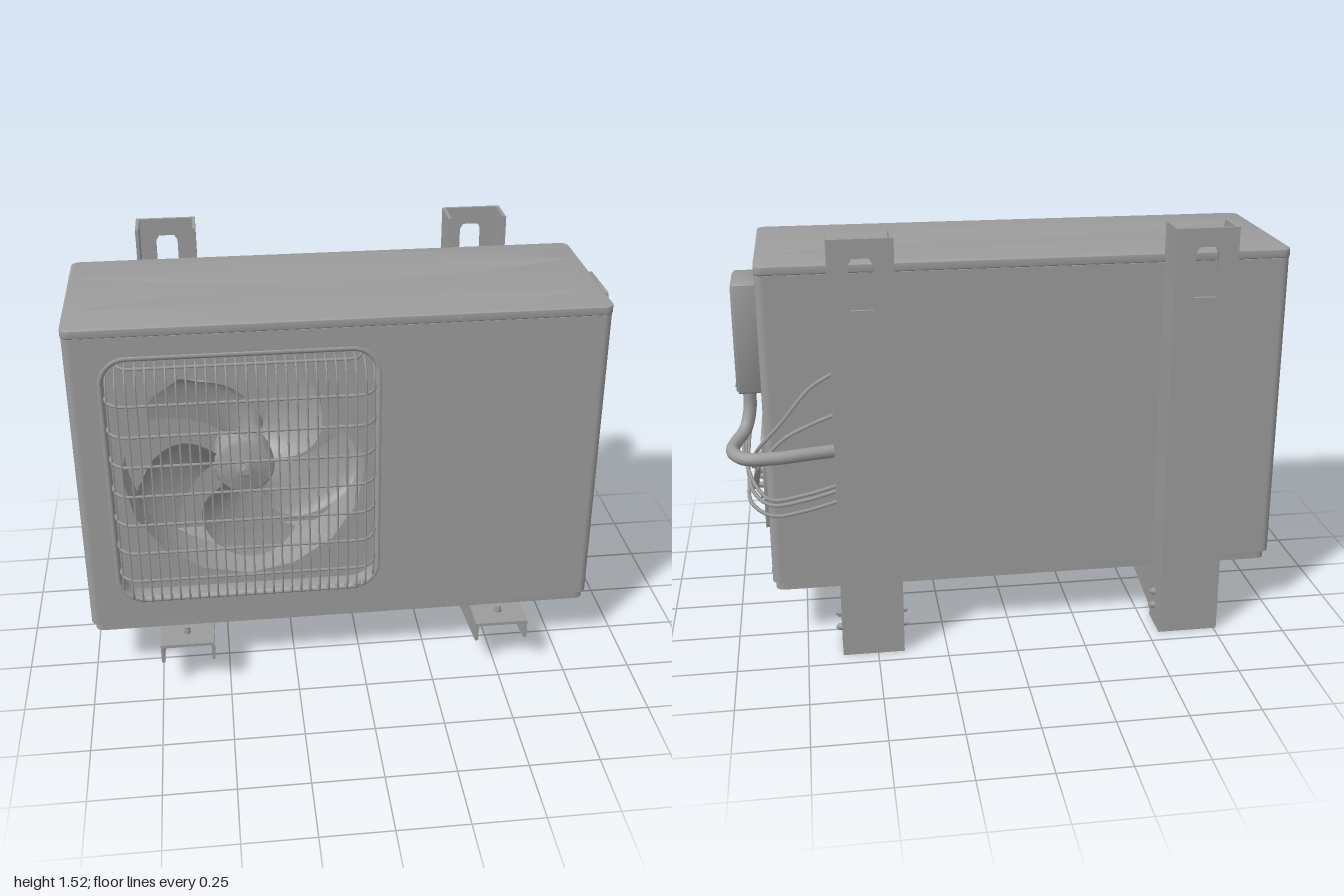
import * as THREE from 'three';
import { toCreasedNormals } from 'three/addons/utils/BufferGeometryUtils.js';

const GREY = 0x9c9c9c;
const mat = new THREE.MeshStandardMaterial({ color: GREY });
const thin = new THREE.MeshStandardMaterial({ color: GREY, side: THREE.DoubleSide });

export function createModel() {
  const root = new THREE.Group();
  const add = (name, geo, material = mat, parent = root) => {
    const m = new THREE.Mesh(geo, material);
    m.name = name;
    parent.add(m);
    return m;
  };
  // box from its limits on each axis
  const box = (name, x0, x1, y0, y1, z0, z1, parent = root) => add(name,
    new THREE.BoxGeometry(x1 - x0, y1 - y0, z1 - z0).translate((x0 + x1) / 2, (y0 + y1) / 2, (z0 + z1) / 2), mat, parent);
  // rounded rectangle from its limits; the lower corners may have their own radius
  const rounded = (x0, x1, y0, y1, r, Type = THREE.Shape, low = r) => {
    const s = new Type();
    s.moveTo(x0 + low, y0);
    s.absarc(x1 - low, y0 + low, low, -Math.PI / 2, 0);
    s.absarc(x1 - r, y1 - r, r, 0, Math.PI / 2);
    s.absarc(x0 + r, y1 - r, r, Math.PI / 2, Math.PI);
    s.absarc(x0 + low, y0 + low, low, Math.PI, Math.PI * 1.5);
    return s;
  };
  const polygon = (pts) => new THREE.Shape(pts.map((p) => new THREE.Vector2(...p)));
  const extrude = (shape, depth, bevel = 0) => toCreasedNormals(new THREE.ExtrudeGeometry(shape, {
    depth: depth - 2 * bevel, bevelEnabled: bevel > 0, bevelThickness: bevel, bevelSize: bevel,
    bevelOffset: -bevel, bevelSegments: 3, curveSegments: 8,
  }).translate(0, 0, bevel), 0.6);
  // sheets facing x (shape drawn in -z, y) and facing y (shape drawn in x, -z)
  const sheetX = (shape, x, depth, bevel) => extrude(shape, depth, bevel).rotateY(Math.PI / 2).translate(x, 0, 0);
  const sheetY = (shape, y, depth, bevel) => extrude(shape, depth, bevel).rotateX(-Math.PI / 2).translate(0, y, 0);
  // round peg along an axis
  const peg = (name, axis, x, y, z, r, len, parent = root, sides = 14) => {
    const g = new THREE.CylinderGeometry(r, r, len, sides);
    if (axis === 'x') g.rotateZ(-Math.PI / 2);
    if (axis === 'z') g.rotateX(Math.PI / 2);
    return add(name, toCreasedNormals(g.translate(x, y, z), 0.6), mat, parent);
  };
  const tube = (name, pts, r, sides = 6, segs = 32, parent = root) => add(name, new THREE.TubeGeometry(
    new THREE.CatmullRomCurve3(pts.map((p) => new THREE.Vector3(...p)), false, 'centripetal'), segs, r, sides), thin, parent);

  // --- Casing ---
  const X0 = -0.998, X1 = 0.865, Z0 = -0.306, Z1 = 0.335, Y0 = 0.235, Y1 = 1.374, R = 0.03;
  const front = polygon([[X0 + R, Y0], [X1 - R, Y0], [X1 - R, Y1], [X0 + R, Y1]]);
  front.holes.push(rounded(-0.885, 0.06, 0.33, 1.295, 0.095, THREE.Path));
  add('frontPanel', extrude(front, 0.012).translate(0, 0, Z1 - 0.012));
  const lip = rounded(-0.898, 0.073, 0.317, 1.308, 0.108);
  lip.holes.push(rounded(-0.874, 0.049, 0.341, 1.284, 0.085, THREE.Path));
  add('openingLip', extrude(lip, 0.07, 0.011).translate(0, 0, Z1 - 0.068));
  box('backPanel', X0 + R, X1 - R, Y0, Y1, Z0, Z0 + 0.012);
  box('valveSidePanel', X1 - 0.012, X1, Y0, Y1, Z0 + R, Z1 - R);
  const vent = polygon([[-Z1 + R, Y0], [-Z0 - R, Y0], [-Z0 - R, Y1], [-Z1 + R, Y1]]);
  for (let row = 0; row < 11; row++) for (const u of [-0.26, -0.07]) {
    const y = 0.35 + row * 0.088;
    vent.holes.push(rounded(u, u + 0.175, y, y + 0.063, 0.008, THREE.Path));
  }
  add('ventSidePanel', sheetX(vent, X0, 0.012));
  for (const [x, z, start] of [[X1 - R, Z1 - R, 0], [X1 - R, Z0 + R, 1], [X0 + R, Z0 + R, 2], [X0 + R, Z1 - R, 3]])
    add('casingCorner', new THREE.CylinderGeometry(R, R, Y1 - Y0, 6, 1, true, start * Math.PI / 2, Math.PI / 2)
      .translate(x, (Y0 + Y1) / 2, z), thin);
  add('basePan', sheetY(rounded(-0.985, 0.855, -0.327, 0.295, 0.03), 0.203, 0.04));
  add('lid', sheetY(rounded(-1, 0.867, -0.338, 0.309, 0.032), 1.375, 0.032, 0.004));

  // two shallow lens-shaped swells pressed into the top, pointed at both ends
  for (const z of [0.17, -0.14]) {
    const swell = new THREE.PlaneGeometry(1.8, 0.3, 32, 16).rotateX(-Math.PI / 2);
    const p = swell.attributes.position;
    for (let i = 0; i < p.count; i++) {
      const u = p.getX(i) / 0.9, v = p.getZ(i) / 0.15, w = 1 - u * u;
      p.setY(i, 1.4073 + 0.006 * Math.sqrt(w) * (1 - v * v) ** 2);
      p.setZ(i, p.getZ(i) * (0.03 + 0.97 * w));
    }
    swell.translate(-0.066, 0, z).computeVertexNormals();
    add('lidSwell', swell);
  }

  // --- Fan and its surround ---
  const CX = -0.41, CY = 0.81;
  const plate = rounded(-0.9, 0.075, 0.315, 1.31, 0.09);
  plate.holes.push(new THREE.Path().absarc(CX, CY, 0.435, 0, Math.PI * 2));
  add('fanSurround', extrude(plate, 0.01).translate(0, 0, 0.255));
  add('fanDuct', new THREE.CylinderGeometry(0.435, 0.435, 0.2, 48, 1, true).rotateX(Math.PI / 2).translate(CX, CY, 0.165), thin);
  const fan = new THREE.Group();
  fan.name = 'fan';
  fan.position.set(CX, CY, 0.18);
  root.add(fan);
  add('fanHub', new THREE.LatheGeometry([[0.105, -0.09], [0.108, 0.05], [0.095, 0.065], [0.035, 0.068], [0.03, 0.08], [0, 0.082]]
    .map((p) => new THREE.Vector2(...p)), 32).rotateX(Math.PI / 2), thin, fan);
  peg('hubNut', 'z', 0, 0, 0.085, 0.014, 0.03, fan, 6);
  for (let b = 0; b < 5; b++) {
    const g = new THREE.PlaneGeometry(1, 1, 10, 12), p = g.attributes.position;
    for (let i = 0; i < p.count; i++) {
      const u = p.getX(i) * 2, t = p.getY(i) + 0.5;
      const r = 0.09 + t * (0.33 - 0.05 * u * u);
      const a = b * Math.PI * 0.4 + 0.55 + 0.55 * t * t + u * (0.36 + 0.14 * Math.sin(Math.PI * t));
      p.setXYZ(i, r * Math.cos(a), r * Math.sin(a), -0.01 - 0.04 * u + 0.01 * u * u);
    }
    g.computeVertexNormals();
    add('fanBlade', g, thin, fan);
  }
  peg('fanMotor', 'z', CX, CY, 0, 0.085, 0.17, root, 24);
  for (const x of [CX - 0.06, CX + 0.06]) box('motorStrut', x - 0.015, x + 0.015, Y0, Y1, -0.1, -0.08);

  // --- Wire guard: every wire follows one domed rounded rectangle ---
  const guard = new THREE.Group();
  guard.name = 'wireGuard';
  root.add(guard);
  const GX = -0.4125, GY = 0.8075, HW = 0.461, HH = 0.469, CR = 0.085;
  const reach = (p, half, other) => { // end of a wire at offset p, inside the rounded corners
    const k = Math.abs(p) - (half - CR);
    return other - CR + (k > 0 ? Math.sqrt(Math.max(0, CR * CR - k * k)) : CR);
  };
  const dome = (x, y) => {
    const qx = Math.abs(x) - HW + CR, qy = Math.abs(y) - HH + CR;
    const d = CR - Math.hypot(Math.max(qx, 0), Math.max(qy, 0)) - Math.min(Math.max(qx, qy), 0);
    const e = 1 - Math.min(1, Math.max(0, d / 0.065));
    return 0.325 + 0.085 * Math.sqrt(1 - e * e);
  };
  const steps = [0, 0.002, 0.008, 0.02, 0.04, 0.07, 0.12];
  const wire = (name, vertical, p, r) => {
    const end = vertical ? reach(p, HW, HH) : reach(p, HH, HW);
    const side = steps.map((s) => end - s);
    const pts = [...side.map((s) => -s), ...side.reverse()].map((s) => {
      const [x, y] = vertical ? [p, s] : [s, p];
      return [GX + x, GY + y, dome(x, y) - (vertical ? 0 : 0.005)];
    });
    tube(name, pts, r, 5, 40, guard);
  };
  for (let i = 0; i < 28; i++) wire('verticalWire', true, -0.452 + i * 0.904 / 27, 0.0038);
  for (let i = 0; i < 9; i++) wire('crossWire', false, -0.462 + i * 0.924 / 8, 0.0055);

  // --- Wall brackets ---
  for (const bx of [-0.65, 0.515]) {
    const br = new THREE.Group();
    br.name = 'wallBracket';
    br.position.x = bx;
    root.add(br);
    const web = polygon([[-0.11, 0], [0.11, 0], [0.11, 1.52], [-0.11, 1.52]]);
    web.holes.push(new THREE.Path([[-0.04, 1.28], [0.04, 1.28], [0.04, 1.435], [0.028, 1.455], [-0.028, 1.455], [-0.04, 1.435]]
      .map((p) => new THREE.Vector2(...p))));
    add('uprightWeb', extrude(web, 0.012).translate(0, 0, -0.442), mat, br);
    box('armTop', -0.097, 0.097, 0.188, 0.2, -0.43, 0.445, br);
    peg('footBolt', 'y', 0, 0.2, 0.37, 0.011, 0.05, br);
    peg('footNut', 'y', 0, 0.207, 0.37, 0.015, 0.014, br, 6);
    const arm = polygon([[-0.445, 0.2], [-0.445, 0.125], [0.305, 0.002], [0.43, 0.002], [0.43, 0.2]]);
    for (const s of [-1, 1]) {
      box('uprightFlange', s * 0.104 - 0.006, s * 0.104 + 0.006, 0, 1.52, -0.442, -0.305, br);
      add('armFlange', sheetX(arm, s * 0.092 - 0.006, 0.012), mat, br);
      for (const y of [0.075, 0.13]) {
        peg('bracketBolt', 'x', s * 0.11, y, -0.365, 0.007, 0.042, br);
        peg('bracketNut', 'x', s * 0.116, y, -0.365, 0.013, 0.015, br);
      }
    }
  }

  // --- Access cover with tab and grip ---
  const cover = polygon([[-0.225, 0.938], [-0.185, 0.938], [-0.178, 0.91], [-0.118, 0.91], [-0.111, 0.938],
    [-0.075, 0.938], [-0.075, 1.23], [-0.225, 1.23]]);
  cover.holes.push(rounded(-0.205, -0.095, 1.165, 1.198, 0.004, THREE.Path));
  add('accessCover', sheetX(cover, X1 - 0.002, 0.018, 0.004));
  box('coverFace', X1, X1 + 0.022, 0.945, 1.16, 0.087, 0.213);
  peg('coverScrew', 'x', X1 + 0.022, 0.965, 0.17, 0.009, 0.012);

  // --- Wiring box ---
  add('wiringBox', sheetX(rounded(-0.005, 0.21, 0.93, 1.325, 0.008), X1 - 0.002, 0.083, 0.004));
  add('wiringBoxLid', sheetX(rounded(0.003, 0.202, 0.937, 1.318, 0.006), X1 + 0.078, 0.009, 0.003));
  for (const z of [-0.018, -0.188]) peg('boxScrew', 'x', X1 + 0.085, 0.96, z, 0.008, 0.01);

  // --- Service valves ---
  const tray = rounded(-0.22, 0.068, 0.35, 0.708, 0.03, THREE.Shape, 0.003);
  tray.holes.push(rounded(-0.2, 0.048, 0.358, 0.69, 0.02, THREE.Path, 0.003));
  add('valveFrame', sheetX(tray, X1 - 0.002, 0.024, 0.003));
  box('valvePlate', X1, X1 + 0.01, 0.355, 0.67, -0.045, 0.197);
  add('valveMount', sheetX(polygon([[-0.1, 0.395], [-0.02, 0.395], [-0.02, 0.63], [-0.095, 0.63], [-0.118, 0.585], [-0.125, 0.52], [-0.12, 0.44]]), X1, 0.025, 0.005));
  for (const z of [0.18, -0.042]) peg('traySscrew'.replace('Ss', 'S'), 'x', X1 + 0.02, 0.675, z, 0.008, 0.01);
  for (const y of [0.555, 0.47]) {
    peg('valveStem', 'x', 0.9, y, 0.066, 0.012, 0.06);
    peg('valveCap', 'x', 0.922, y, 0.066, 0.015, 0.02, root, 6);
    peg('valveBarrel', 'z', 0.915, y, 0.066, 0.009, 0.06);
  }
  for (const [y, z] of [[0.592, 0.078], [0.535, 0.05], [0.5, 0.08], [0.433, 0.05]]) peg('valveBolt', 'x', 0.892, y, z, 0.011, 0.024);

  // --- Pipes, hose and cables leading behind the upright ---
  tube('upperPipe', [[0.915, 0.555, 0.06], [0.91, 0.61, -0.06], [0.905, 0.68, -0.2], [0.89, 0.75, -0.29], [0.8, 0.86, -0.32], [0.7, 0.98, -0.325], [0.62, 1.03, -0.325]], 0.007);
  tube('lowerPipe', [[0.915, 0.47, 0.06], [0.91, 0.53, -0.1], [0.905, 0.6, -0.22], [0.89, 0.69, -0.31], [0.8, 0.8, -0.335], [0.7, 0.85, -0.33], [0.62, 0.88, -0.325]], 0.007);
  tube('pipeSleeve', [[0.91, 0.545, -0.13], [0.905, 0.6, -0.22], [0.89, 0.69, -0.31]], 0.011);
  tube('conduit', [[0.91, 0.935, -0.155], [0.912, 0.86, -0.16], [0.93, 0.795, -0.19], [0.965, 0.765, -0.25], [0.972, 0.76, -0.32], [0.93, 0.757, -0.385], [0.82, 0.757, -0.395], [0.72, 0.76, -0.38], [0.62, 0.76, -0.36]], 0.023, 12, 56);
  [[-0.045, 0.53], [-0.07, 0.57], [-0.095, 0.59]].forEach(([z, y], i) =>
    tube('cable', [[0.9 + i * 0.012, 0.935, z], [0.905 + i * 0.012, 0.83, z - 0.005], [0.925 + i * 0.01, 0.72, z - 0.05], [0.93, y + 0.08, z - 0.15],
      [0.92 - i * 0.01, y + 0.03, -0.31], [0.85, y, -0.365], [0.73, y + 0.01, -0.36], [0.62, y + 0.03, -0.34]], 0.007));

  // --- Casing screws ---
  for (const x of [-0.9, -0.07, 0.765]) peg('frontScrew', 'z', x, 0.265, Z1, 0.009, 0.006);
  for (const x of [-0.46, 0.33]) for (const [y, z] of [[1.392, 0.337], [0.22, 0.327]]) peg('edgeScrew', 'z', x, y, z, 0.009, 0.006);
  for (const x of [X0, X1]) {
    for (const z of [0.26, 0.095, -0.07, -0.235]) peg('sideScrew', 'x', x, 0.257, z, 0.009, 0.008);
    for (const z of [0.22, -0.18]) peg('lidScrew', 'x', x, 1.392, z, 0.009, 0.008);
  }
  return root;
}
